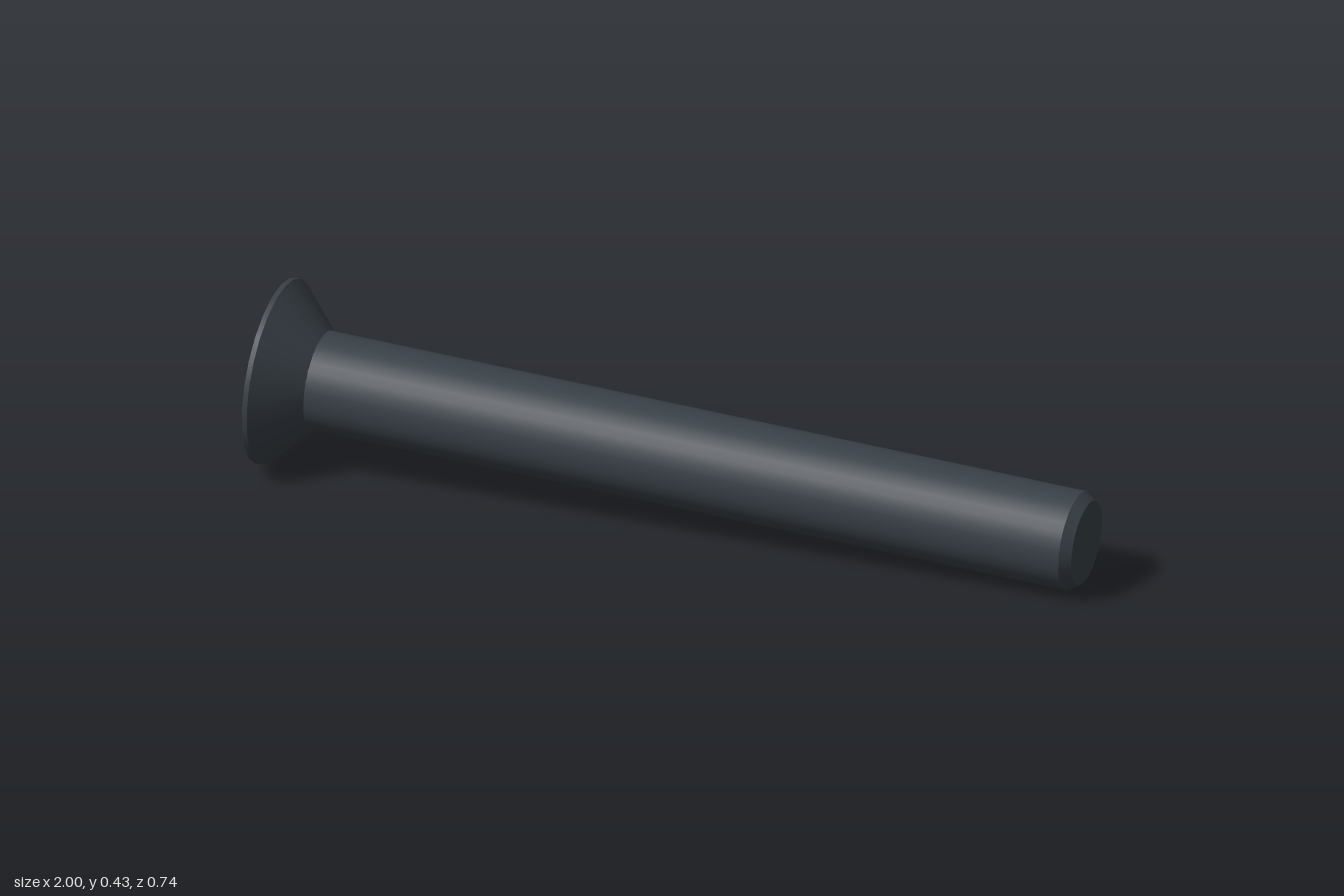
import * as THREE from 'three';

const steel = new THREE.MeshStandardMaterial({ color: 0x394148 });
steel.name = 'dark steel';

// Screw axis, from the centre of the head face to the centre of the tip
const HEAD = new THREE.Vector3(-0.953, 0.219, -0.157);
const TIP = new THREE.Vector3(0.977, 0.12, 0.258);
const LENGTH = HEAD.distanceTo(TIP);
const HEAD_R = 0.217, SHAFT_R = 0.116, TIP_R = 0.099;

// One straight-sided ring about the local y axis, with hard ends
function ring(name, r0, y0, r1, y1, sides) {
  const profile = [new THREE.Vector2(r0, y0), new THREE.Vector2(r1, y1)];
  const mesh = new THREE.Mesh(new THREE.LatheGeometry(profile, sides), steel);
  mesh.name = name;
  return mesh;
}

// Twelve-point cross outline, counter-clockwise
function cross(reach, halfWidth, inner) {
  const pts = [];
  for (let i = 0; i < 4; i++) {
    for (const [x, y] of [[reach, -halfWidth], [reach, halfWidth], [inner, inner]]) {
      pts.push(new THREE.Vector2(x, y).rotateAround(new THREE.Vector2(), i * Math.PI / 2));
    }
  }
  return pts;
}

// Flat part drawn in x/y, turned to face down the local -y axis
function facing(name, geometry) {
  const mesh = new THREE.Mesh(geometry.rotateX(Math.PI / 2), steel);
  mesh.name = name;
  return mesh;
}

export function createModel() {
  const model = new THREE.Group();
  model.name = 'countersunkScrew';
  const screw = new THREE.Group();
  screw.name = 'screw';
  model.add(screw);

  // Head rim, countersink cone, shank and chamfered tip
  screw.add(
    ring('headRim', HEAD_R, 0, HEAD_R, 0.012, 24),
    ring('headCone', HEAD_R, 0.012, SHAFT_R, 0.112, 24),
    ring('shank', SHAFT_R, 0.105, SHAFT_R, LENGTH - 0.025, 32),
    ring('tipChamfer', SHAFT_R, LENGTH - 0.025, TIP_R, LENGTH, 32),
    ring('tipFace', TIP_R, LENGTH, 0, LENGTH, 32),
  );

  // Head face with a cross-shaped opening
  const top = cross(0.125, 0.024, 0.034);
  const bottom = cross(0.06, 0.017, 0.024);
  const depth = 0.1;
  const disc = [];
  for (let i = 0; i < 24; i++) {
    const a = i * Math.PI / 12;
    disc.push(new THREE.Vector2(HEAD_R * Math.cos(a), HEAD_R * Math.sin(a)));
  }
  const face = new THREE.Shape(disc);
  face.holes.push(new THREE.Path([...top].reverse()));
  screw.add(facing('headFace', new THREE.ShapeGeometry(face)));

  // Tapered walls and floor of the driver recess
  const walls = [];
  top.forEach((a, i) => {
    const j = (i + 1) % top.length;
    const b = top[j], c = bottom[j], d = bottom[i];
    walls.push(a.x, a.y, 0, b.x, b.y, 0, c.x, c.y, -depth);
    walls.push(a.x, a.y, 0, c.x, c.y, -depth, d.x, d.y, -depth);
  });
  const wallGeometry = new THREE.BufferGeometry();
  wallGeometry.setAttribute('position', new THREE.Float32BufferAttribute(walls, 3));
  wallGeometry.computeVertexNormals();
  screw.add(facing('recessWalls', wallGeometry));
  const floor = new THREE.ShapeGeometry(new THREE.Shape(bottom)).translate(0, 0, -depth);
  screw.add(facing('recessFloor', floor));

  // Lay the screw along its axis, one recess arm pointing up
  const axis = TIP.clone().sub(HEAD).normalize();
  const up = new THREE.Vector3(0, 1, 0).projectOnPlane(axis).normalize();
  const side = axis.clone().cross(up);
  screw.quaternion.setFromRotationMatrix(new THREE.Matrix4().makeBasis(side, axis, up));
  screw.position.copy(HEAD);
  return model;
}
